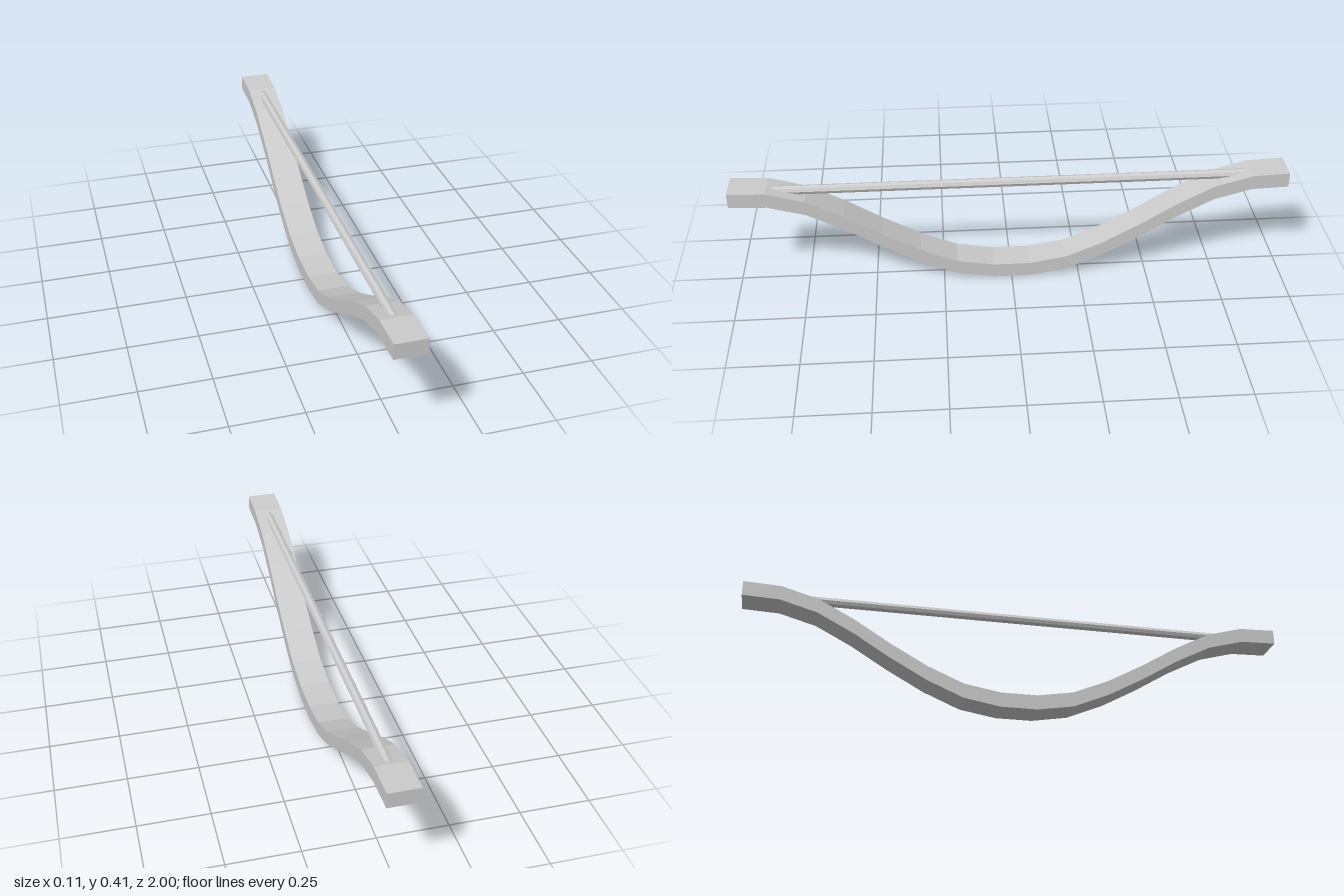
import * as THREE from 'three';

export function createModel() {
  const group = new THREE.Group();
  group.name = 'bow';
  const grey = new THREE.MeshStandardMaterial({ color: 0xcccccc, flatShading: true });
  grey.name = 'lightGrey';

  // Curved limb: lower edge from the grip to one tip, as [z, y], mirrored for the other half
  const half = [
    [0.067, 0], [0.2, 0.023], [0.333, 0.08], [0.467, 0.155],
    [0.6, 0.238], [0.733, 0.308], [0.867, 0.346], [1, 0.351],
  ];
  const lower = [...half.map(([z, y]) => [-z, y]).reverse(), ...half];
  const thickness = 0.055;
  const width = 0.11;
  const upper = lower.map(([z, y]) => [z, y + thickness]).reverse();
  const shape = new THREE.Shape([...lower, ...upper].map(([z, y]) => new THREE.Vector2(z, y)));
  const limbGeometry = new THREE.ExtrudeGeometry(shape, { depth: width, bevelEnabled: false });
  limbGeometry.translate(0, 0, -width / 2);
  limbGeometry.rotateY(-Math.PI / 2);
  const limb = new THREE.Mesh(limbGeometry, grey);
  limb.name = 'limb';
  group.add(limb);

  // Straight eight-sided string whose ends sink into the limb
  const stringGeometry = new THREE.CylinderGeometry(0.017, 0.017, 1.7, 8);
  stringGeometry.rotateX(Math.PI / 2);
  const string = new THREE.Mesh(stringGeometry, grey);
  string.name = 'string';
  string.position.y = 0.381;
  group.add(string);

  return group;
}
